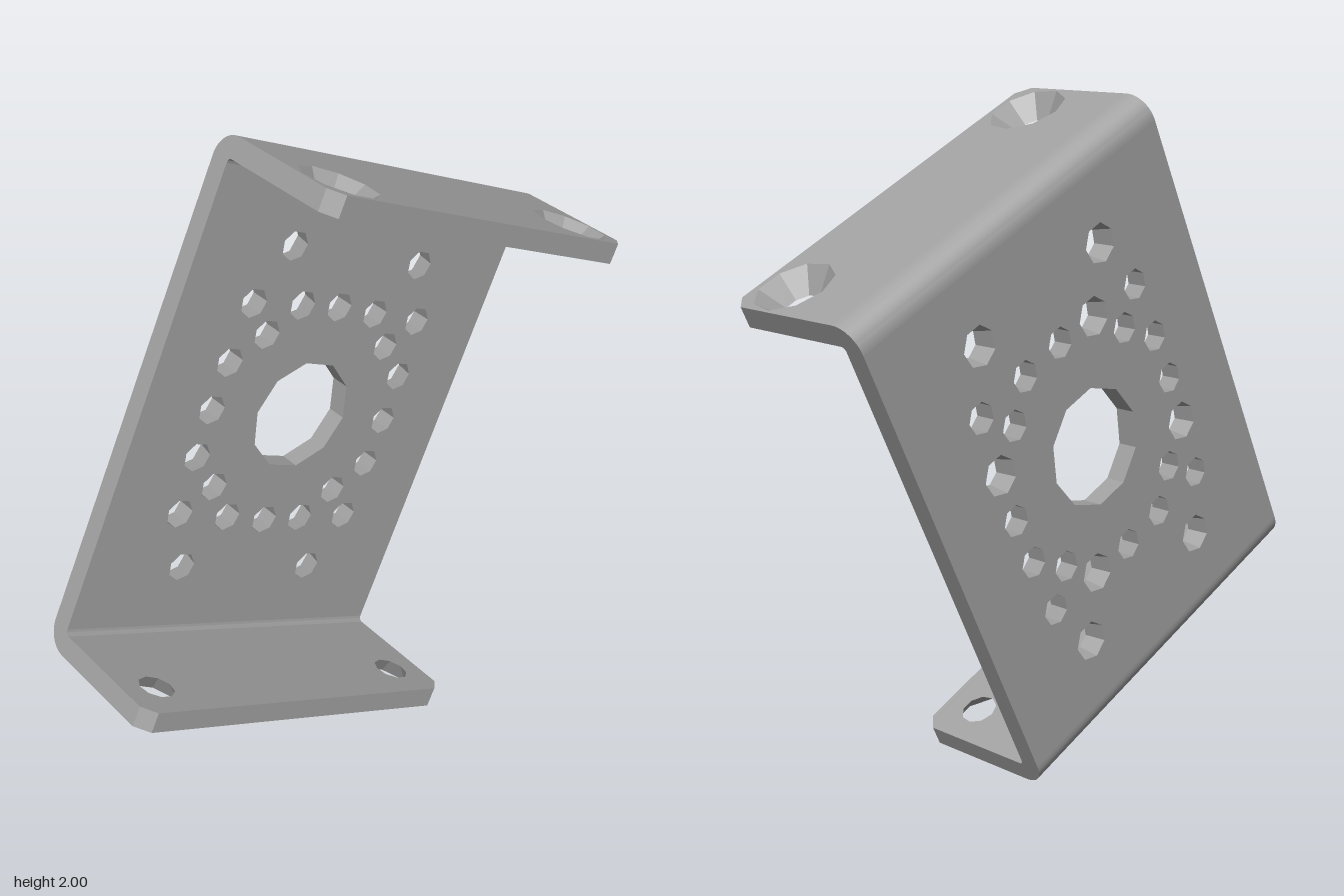
import * as THREE from 'three';
import { toCreasedNormals } from 'three/addons/utils/BufferGeometryUtils.js';

const W = 0.615, H = 0.812, D = 0.25; // half width, height and depth
const T = 0.065, R = 0.08;            // sheet thickness, outer bend radius
const TILT = 0.445;

// Clockwise ring of points for a faceted hole
function ring(x, y, r, n) {
  return Array.from({ length: n }, (_, i) => {
    const a = Math.PI / 2 + Math.PI / n - (i * 2 * Math.PI) / n;
    return new THREE.Vector2(x + r * Math.cos(a), y + r * Math.sin(a));
  });
}

// Drilled sheet from z = 0 to T; each hole has radius R0 at z = 0 and R1 at z = T
function drilledSheet(outline, holes) {
  const pos = [];
  const contour = outline.map(([x, y]) => new THREE.Vector2(x, y));
  const layers = ['R0', 'R1'].map((key) => [contour, ...holes.map((h) => ring(h.x, h.y, h[key], h.n))]);
  // Two faces
  layers.forEach((loops, k) => {
    const shape = new THREE.Shape(loops[0]);
    shape.holes = loops.slice(1).map((pts) => new THREE.Path(pts));
    const p = new THREE.ShapeGeometry(shape).toNonIndexed().attributes.position;
    for (let i = 0; i < p.count; i += 3) {
      for (const j of k ? [0, 1, 2] : [0, 2, 1]) pos.push(p.getX(i + j), p.getY(i + j), k * T);
    }
  });
  // Outer rim and hole walls
  layers[0].forEach((low, l) => {
    const high = layers[1][l];
    low.forEach((a, i) => {
      const j = (i + 1) % low.length, b = low[j], c = high[j], d = high[i];
      pos.push(a.x, a.y, 0, b.x, b.y, 0, c.x, c.y, T);
      pos.push(a.x, a.y, 0, c.x, c.y, T, d.x, d.y, T);
    });
  });
  const geo = new THREE.BufferGeometry();
  geo.setAttribute('position', new THREE.Float32BufferAttribute(pos, 3));
  geo.computeVertexNormals();
  return geo;
}

export function createModel() {
  const metal = new THREE.MeshStandardMaterial({ color: 0xa0a0a0 });
  metal.name = 'grey metal';
  const model = new THREE.Group();
  model.name = 'bracket';
  const body = new THREE.Group();
  body.name = 'tiltedBody';
  body.position.y = 1;
  body.rotation.z = -TILT;
  model.add(body);

  const add = (parent, name, geo) => {
    const mesh = new THREE.Mesh(geo, metal);
    mesh.name = name;
    parent.add(mesh);
    return mesh;
  };

  // Half of the hole pattern; the first four are countersunk from the back
  const pattern = [
    [-0.012, 0.592], [0.462, 0.362], [0.012, 0.385], [0.385, -0.012],
    [-0.163, 0.457], [-0.12, 0.335], [0.15, 0.328], [-0.255, 0.292],
    [0.288, 0.253], [0.457, 0.163], [-0.325, 0.155], [0.33, 0.12],
  ];
  const holes = [{ x: 0, y: 0, R0: 0.18, R1: 0.18, n: 10 }];
  pattern.forEach(([x, y], i) => {
    const p = new THREE.Vector2(x, y).rotateAround(new THREE.Vector2(), TILT);
    for (const s of [1, -1]) {
      holes.push({ x: s * p.x, y: s * p.y, R0: i < 4 ? 0.06 : 0.047, R1: 0.047, n: 7 });
    }
  });

  // Back plate
  const h = H - R;
  const plate = drilledSheet([[-W, -h], [W, -h], [W, h], [-W, h]], holes);
  add(body, 'backPlate', plate).position.z = -D;

  // Flange with chamfered front corners and two countersunk holes
  const c = 0.04, z0 = -D + R;
  const flange = drilledSheet(
    [[-W, z0], [W, z0], [W, D - c], [W - c, D], [-W + c, D], [-W, D - c]],
    [-0.49, 0.49].map((x) => ({ x, y: 0.12, R0: 0.118, R1: 0.056, n: 9 })),
  );
  flange.rotateX(Math.PI / 2).translate(0, H, 0);

  // Rounded bend joining plate and flange
  const arc = new THREE.Shape();
  arc.absarc(D - R, h, R, 0, Math.PI / 2, false);
  arc.absarc(D - R, h, R - T, Math.PI / 2, 0, true);
  let bend = new THREE.ExtrudeGeometry(arc, { depth: 2 * W, bevelEnabled: false, curveSegments: 8 });
  bend.rotateY(Math.PI / 2).translate(-W, 0, 0);
  bend = toCreasedNormals(bend, 0.6);

  // Same flange and bend at top and bottom
  ['top', 'bottom'].forEach((name, i) => {
    const side = new THREE.Group();
    side.name = name + 'Side';
    side.rotation.z = i * Math.PI;
    add(side, name + 'Flange', flange);
    add(side, name + 'Bend', bend);
    body.add(side);
  });
  return model;
}
